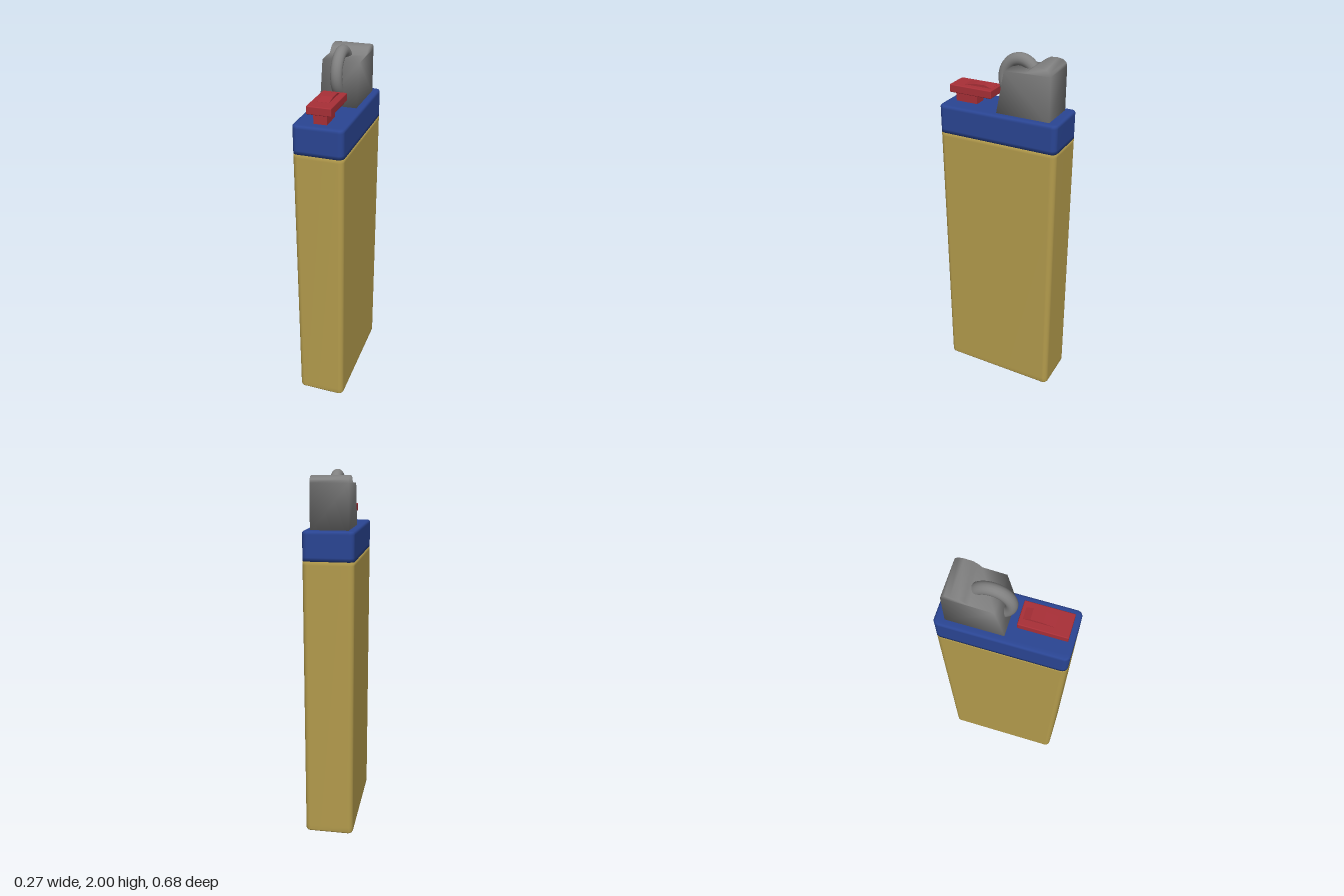
import * as THREE from 'three';
import { mergeVertices } from 'three/addons/utils/BufferGeometryUtils.js';
import { RoundedBoxGeometry } from 'three/addons/geometries/RoundedBoxGeometry.js';

const mat = (color) => new THREE.MeshStandardMaterial({ color });
const gold = mat(0xb39b4c), blue = mat(0x2a4593), red = mat(0xa82f37), steel = mat(0x808080);

// Rounded-rectangle rings stacked by [height, inset]; the two ends are capped by centre points.
function stackedBlock(halfX, halfZ, radius, rows) {
  const pos = [], index = [], steps = 6, n = 4 * (steps + 1);
  for (const [y, inset] of rows) {
    const r = Math.max(radius - inset, 0.005);
    for (let c = 0; c < 4; c++) {
      const sx = c === 0 || c === 3 ? 1 : -1, sz = c < 2 ? 1 : -1;
      for (let s = 0; s <= steps; s++) {
        const a = (c + s / steps) * Math.PI / 2;
        pos.push(sx * (halfX - inset - r) + r * Math.cos(a), y, sz * (halfZ - inset - r) + r * Math.sin(a));
      }
    }
  }
  const last = (rows.length - 1) * n, bottom = rows.length * n, top = bottom + 1;
  pos.push(0, rows[0][0], 0, 0, rows[rows.length - 1][0], 0);
  for (let i = 0; i < n; i++) {
    const j = (i + 1) % n;
    for (let k = 0; k < last; k += n) index.push(k + i, k + n + i, k + j, k + j, k + n + i, k + n + j);
    index.push(bottom, i, j, top, last + j, last + i);
  }
  const g = new THREE.BufferGeometry();
  g.setAttribute('position', new THREE.Float32BufferAttribute(pos, 3));
  g.setIndex(index);
  g.computeVertexNormals();
  return g;
}

// Side profile of [z, y] points, swept across x.
function sideProfile(points, width) {
  const shape = new THREE.Shape(points.map(([z, y]) => new THREE.Vector2(z, y)));
  const g = new THREE.ExtrudeGeometry(shape, { depth: width, bevelEnabled: false });
  return g.rotateY(-Math.PI / 2).translate(width / 2, 0, 0);
}

export function createModel() {
  const model = new THREE.Group();
  const add = (name, geometry, material, x = 0, y = 0, z = 0) => {
    const mesh = new THREE.Mesh(geometry, material);
    mesh.name = name;
    mesh.position.set(x, y, z);
    model.add(mesh);
  };

  // Fuel tank with softened base, and the collar above it
  add('tank', stackedBlock(0.135, 0.338, 0.03,
    [[0, 0.03], [0, 0.012], [0.004, 0.004], [0.012, 0], [0.04, 0], [1.53, 0], [1.55, 0]]), gold);
  add('collar', stackedBlock(0.135, 0.338, 0.03,
    [[1.55, 0], [1.57, 0], [1.685, 0], [1.693, 0], [1.7, 0.004], [1.703, 0.012], [1.703, 0.03]]), blue);

  // Metal hood: sloped front, low shelf, raised rounded back
  const hood = sideProfile([
    [0.015, 1.69], [-0.285, 1.69], [-0.285, 1.935], [-0.28, 1.953], [-0.262, 1.967], [-0.235, 1.972],
    [-0.195, 1.97], [-0.172, 1.958], [-0.15, 1.935], [-0.033, 1.928],
  ], 0.2);
  hood.deleteAttribute('uv');
  hood.deleteAttribute('normal');
  const softHood = mergeVertices(hood, 1e-4);
  softHood.computeVertexNormals();
  add('hood', softHood, steel);

  // Spark wheel: an upright oval ring set into the hood
  const ring = new THREE.TorusGeometry(0.1, 0.031, 16, 48).rotateY(Math.PI / 2).scale(1, 1.05, 0.94);
  add('sparkWheel', ring, steel, -0.007, 1.862, -0.073);

  // Thumb button: stem, plate and a low grip ridge
  add('buttonStem', new THREE.BoxGeometry(0.07, 0.075, 0.125), red, 0, 1.735, 0.223);
  add('buttonPlate', new RoundedBoxGeometry(0.13, 0.043, 0.247, 3, 0.005), red, 0, 1.777, 0.185);
  add('buttonRidge', sideProfile([
    [0.235, 1.795], [0.235, 1.799], [0.175, 1.81], [0.115, 1.811], [0.08, 1.799], [0.08, 1.795],
  ], 0.06), red);

  return model;
}
